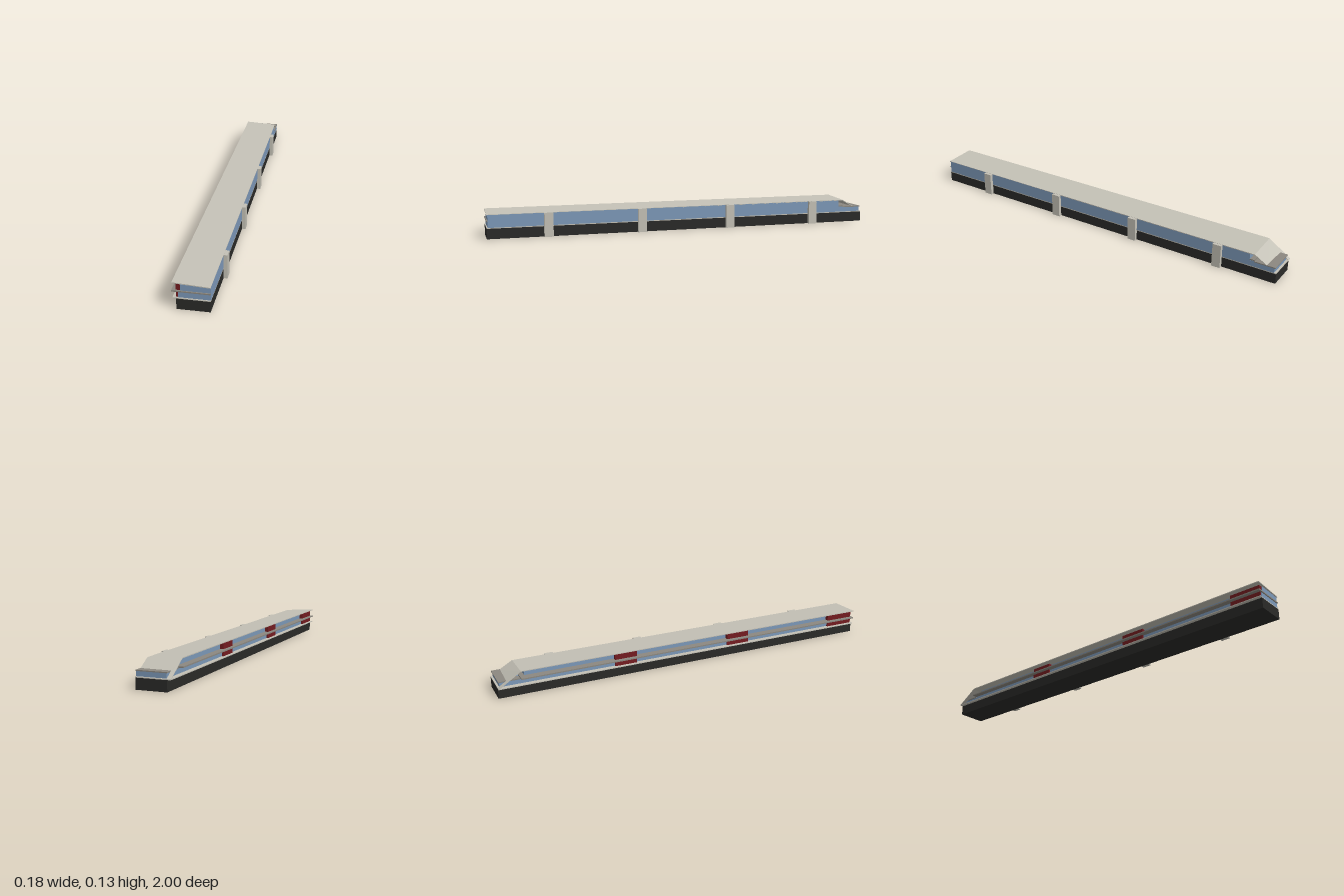
import * as THREE from 'three';

const mat = (color) => new THREE.MeshStandardMaterial({ color, flatShading: true });
const concrete = mat(0xc4c1b6);
const slabGrey = mat(0x8c8880);
const glass = mat(0x7c98b8);
const plinthBlack = mat(0x2a2a28);
const red = mat(0x741c20);

export function createModel() {
  const model = new THREE.Group();

  // Box given by its limits on each axis
  function block(name, material, [x0, x1], [y0, y1], [z0, z1]) {
    const mesh = new THREE.Mesh(new THREE.BoxGeometry(x1 - x0, y1 - y0, z1 - z0), material);
    mesh.position.set((x0 + x1) / 2, (y0 + y1) / 2, (z0 + z1) / 2);
    mesh.name = name;
    model.add(mesh);
  }

  // Plinth and ground floor slab
  block('plinth', plinthBlack, [-0.073, 0.073], [0, 0.051], [-1, 1]);
  block('lowerSlab', concrete, [-0.089, 0.074], [0.051, 0.055], [-1, 1]);

  // Two glazed storeys, the upper one set back
  block('lowerGlazing', glass, [-0.066, 0.074], [0.055, 0.078], [-0.99, 0.995]);
  block('lowerGlazingTop', glass, [-0.066, 0.074], [0.078, 0.083], [-0.9, 0.995]);
  block('upperGlazing', glass, [-0.056, 0.074], [0.083, 0.117], [-0.867, 0.995]);

  // Middle slab: wide balcony along the side, narrow terrace at the rear
  block('balconySlab', slabGrey, [-0.093, 0.0735], [0.083, 0.089], [-0.89, 1]);
  block('terraceSlab', slabGrey, [-0.07, 0.0745], [0.078, 0.083], [-0.995, -0.89]);

  // Red entrance blocks on both storeys
  for (const [z0, z1] of [[-0.415, -0.3], [0.21, 0.335], [0.84, 0.992]]) {
    block('lowerRedBlock', red, [-0.075, -0.05], [0.055, 0.083], [z0, z1]);
    block('upperRedBlock', red, [-0.075, -0.05], [0.089, 0.117], [z0, z1]);
  }

  // Pillars along the other side
  for (const z of [-0.705, -0.235, 0.235, 0.705]) {
    block('pillar', concrete, [0.073, 0.091], [0, 0.118], [z - 0.022, z + 0.022]);
  }

  // Roof height: tilted across, folding down to the ground slab behind z = -0.89
  function roofY(x, z) {
    const flat = 0.128 - (0.009 * (x + 0.091)) / 0.165;
    const fold = Math.max(0, (-0.89 - z) / 0.11);
    return THREE.MathUtils.lerp(flat, 0.055, fold);
  }

  // Thin plate from a plan outline of [x, z] points, draped on the roof height
  function roofPlate(name, outline) {
    const shape = new THREE.Shape(outline.map(([x, z]) => new THREE.Vector2(x, -z)));
    const geo = new THREE.ExtrudeGeometry(shape, { depth: 0.004, bevelEnabled: false });
    geo.rotateX(-Math.PI / 2);
    const p = geo.attributes.position;
    for (let i = 0; i < p.count; i++) {
      p.setY(i, p.getY(i) - 0.004 + roofY(p.getX(i), p.getZ(i)));
    }
    geo.computeVertexNormals();
    const mesh = new THREE.Mesh(geo, concrete);
    mesh.name = name;
    model.add(mesh);
  }

  roofPlate('roof', [[-0.091, 1], [0.074, 1], [0.074, -0.89], [-0.091, -0.89]]);
  // Sloping end with a notch for the terrace
  roofPlate('slopedRoofEnd', [
    [-0.09, -0.89], [0.074, -0.89], [0.074, -0.957],
    [-0.07, -0.957], [-0.07, -1], [-0.09, -1],
  ]);

  return model;
}
